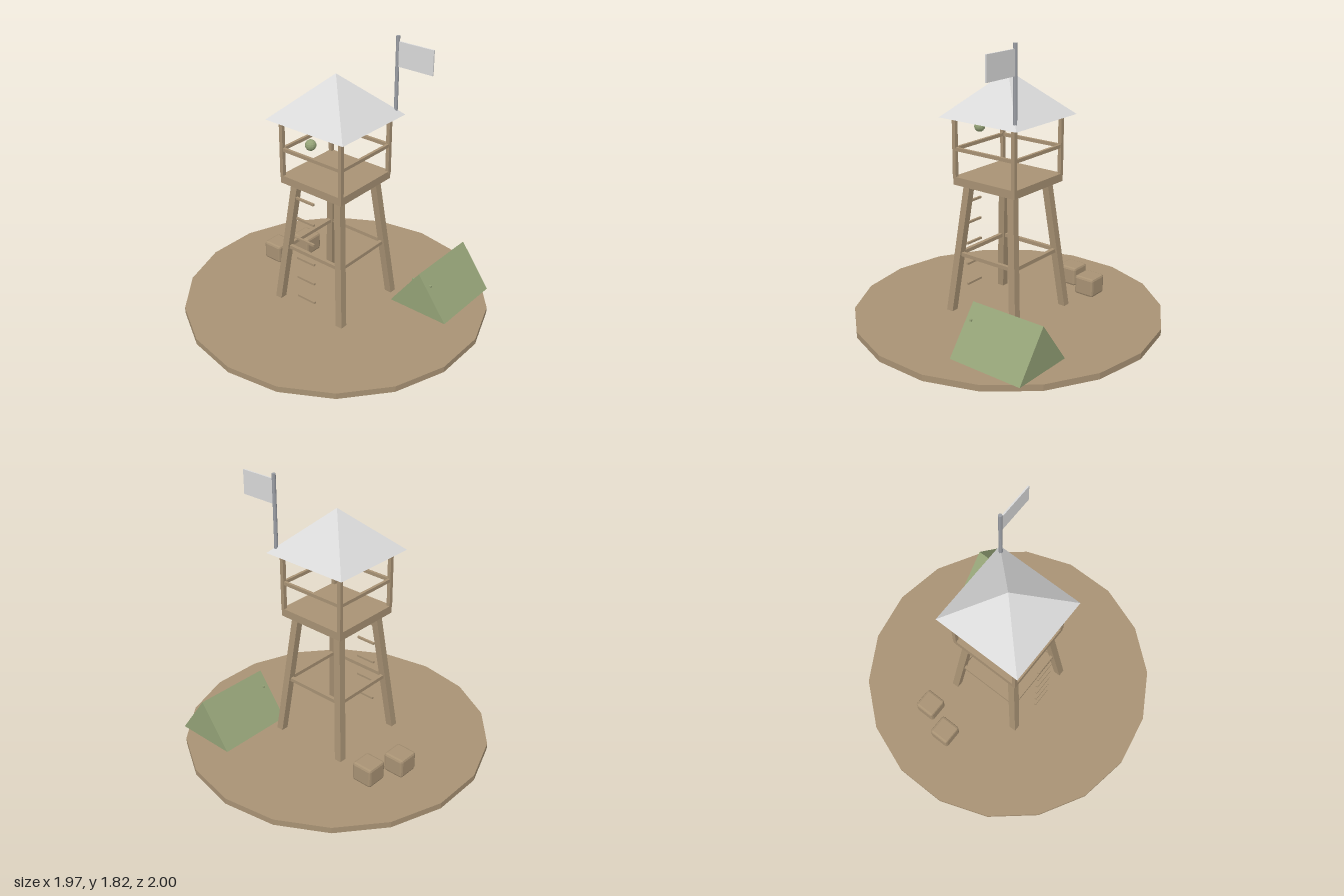
import * as THREE from 'three';
import { RoundedBoxGeometry } from 'three/addons/geometries/RoundedBoxGeometry.js';

const material = (name, color) => {
  const m = new THREE.MeshStandardMaterial({ color, flatShading: true });
  m.name = name;
  return m;
};

export function createModel() {
  const wood = material('wood', 0xa89274);
  const green = material('canvasGreen', 0x94a277);
  const pale = material('paleCloth', 0xdadada);
  const metal = material('poleGrey', 0x9a9da3);

  const model = new THREE.Group();
  model.name = 'watchtowerCamp';

  const add = (name, geometry, mat, x = 0, y = 0, z = 0) => {
    const mesh = new THREE.Mesh(geometry, mat);
    mesh.name = name;
    mesh.position.set(x, y, z);
    model.add(mesh);
    return mesh;
  };
  const box = (name, mat, w, h, d, x, y, z) =>
    add(name, new THREE.BoxGeometry(w, h, d), mat, x, y, z);

  // Ground disc, 18 sides
  add('ground', new THREE.CylinderGeometry(1, 1, 0.04, 18), wood, 0, 0.02, 0);

  // Splayed legs and upright posts at the four corners
  for (const sx of [-1, 1]) {
    for (const sz of [-1, 1]) {
      const leg = new THREE.BoxGeometry(0.048, 0.86, 0.048);
      const p = leg.attributes.position;
      for (let i = 0; i < p.count; i++) {
        const c = p.getY(i) > 0 ? 0.172 : 0.259;
        p.setX(i, p.getX(i) + sx * c);
        p.setZ(i, p.getZ(i) + sz * c);
      }
      leg.computeVertexNormals();
      add('leg', leg, wood, 0, 0.465, 0);
      box('post', wood, 0.025, 0.4, 0.025, sx * 0.232, 1.13, sz * 0.232);
    }
  }

  // Platform
  box('platform', wood, 0.485, 0.052, 0.485, 0, 0.916, 0);

  // Cross braces between the legs and rails between the posts
  for (const s of [-1, 1]) {
    box('braceAcross', wood, 0.42, 0.024, 0.024, 0, 0.43, s * 0.218);
    box('braceAlong', wood, 0.024, 0.024, 0.42, s * 0.218, 0.43, 0);
    box('railAcross', wood, 0.46, 0.022, 0.018, 0, 1.12, s * 0.232);
    box('railAlong', wood, 0.018, 0.022, 0.46, s * 0.232, 1.12, 0);
  }

  // Ladder rungs
  for (let i = 0; i < 6; i++) {
    box('rung', wood, 0.14, 0.014, 0.014, 0, 0.145 + i * 0.143, 0.29);
  }

  // Pyramid roof
  const roof = new THREE.ConeGeometry(0.3 * Math.SQRT2, 0.28, 4);
  roof.rotateY(Math.PI / 4);
  add('roof', roof, pale, 0, 1.46, 0);

  // Lookout ball
  const ball = add('lookoutBall', new THREE.SphereGeometry(0.035, 12, 8), green, 0, 1.217, 0.232);
  ball.rotation.y = 0.2;

  // Flagpole and flag
  add('flagpole', new THREE.CylinderGeometry(0.012, 0.012, 0.48, 8), metal, 0.257, 1.58, -0.258);
  box('flag', pale, 0.25, 0.155, 0.009, 0.387, 1.71, -0.258);

  // Ridge tent with a small cross bar poking through the canvas
  const outline = new THREE.Shape([
    new THREE.Vector2(-0.212, 0),
    new THREE.Vector2(0.212, 0),
    new THREE.Vector2(0, 0.288),
  ]);
  const tent = new THREE.ExtrudeGeometry(outline, { depth: 0.515, bevelEnabled: false });
  add('tent', tent, green, 0.542, 0.04, -0.688);
  box('tentBar', green, 0.145, 0.012, 0.014, 0.542, 0.243, -0.212);

  // Chamfered crates
  for (const [x, z] of [[-0.515, -0.287], [-0.6, -0.087]]) {
    add('crate', new RoundedBoxGeometry(0.143, 0.13, 0.143, 1, 0.016), wood, x, 0.105, z);
  }

  return model;
}
